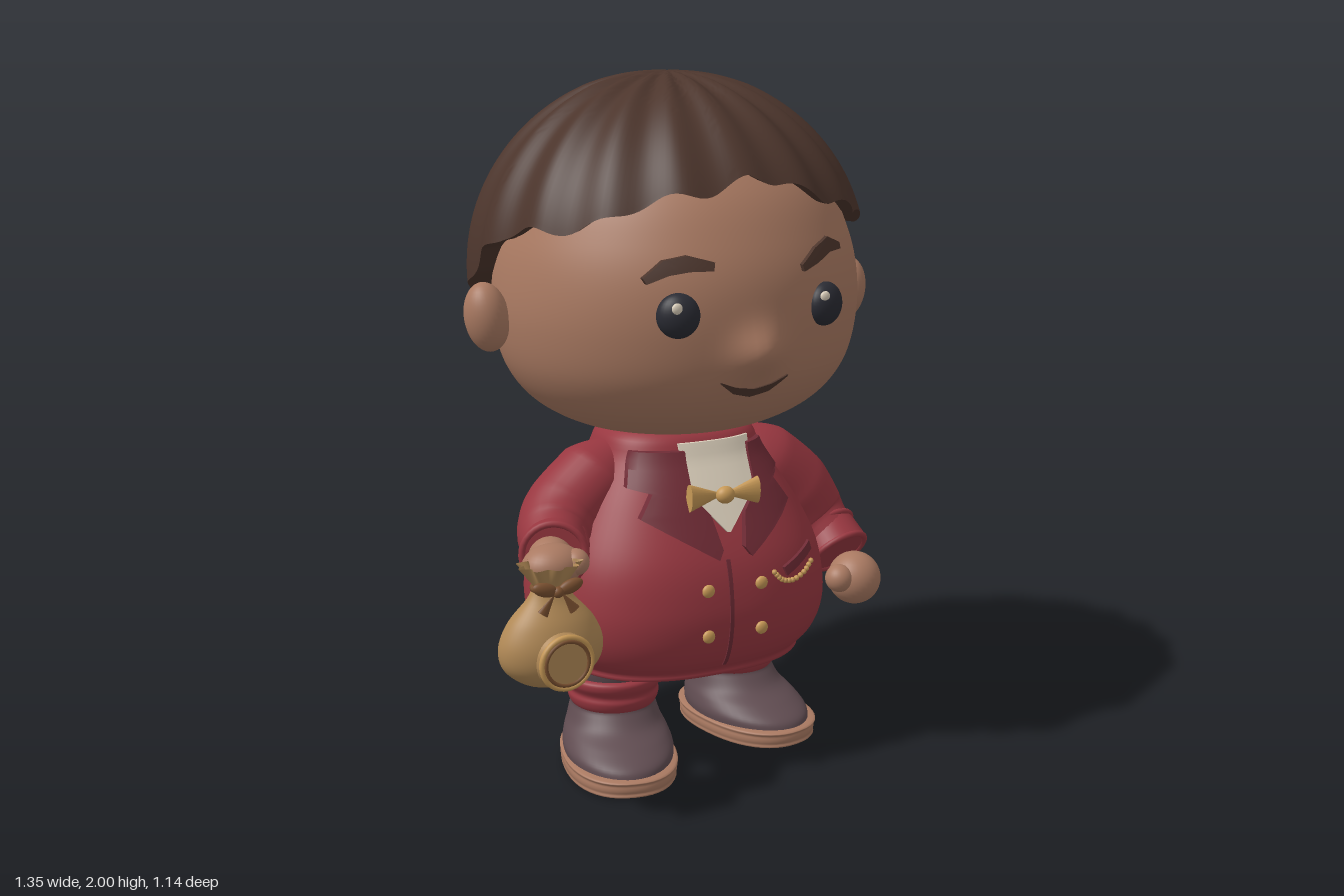
import * as THREE from 'three';
import { toCreasedNormals } from 'three/addons/utils/BufferGeometryUtils.js';

const mat = (name, color, side = THREE.FrontSide) => {
  const m = new THREE.MeshStandardMaterial({ color, side });
  m.name = name;
  return m;
};
const M = {
  skin: mat('skin', 0xaa7a62), hair: mat('darkBrown', 0x4c352c), red: mat('jacketRed', 0x983740),
  maroon: mat('maroon', 0x6f2b35), shoe: mat('plumGrey', 0x604c51), gold: mat('gold', 0xc69856),
  sack: mat('sackTan', 0xb18956, THREE.DoubleSide), cream: mat('cream', 0xdcd0bc),
  eye: mat('eyeBlack', 0x2a2b33), ribbon: mat('ribbonBrown', 0x7a5030),
};

// Quad grid from a rule; columns wrap for closed sections
function grid(rows, cols, wrap, fn) {
  const pos = [], idx = [], n = wrap ? cols : cols + 1;
  for (let i = 0; i <= rows; i++) for (let j = 0; j < n; j++) pos.push(...fn(i, j));
  for (let i = 0; i < rows; i++) for (let j = 0; j < cols; j++) {
    const k = (j + 1) % n, a = i * n + j, b = i * n + k, c = b + n, d = a + n;
    idx.push(a, b, c, a, c, d);
  }
  const g = new THREE.BufferGeometry();
  g.setAttribute('position', new THREE.Float32BufferAttribute(pos, 3));
  g.setIndex(idx);
  g.computeVertexNormals();
  return g;
}

// Smooth stack of ellipses, each ring [y, centreX, centreZ, radiusX, radiusZ]
function stack(rings) {
  const c = new THREE.CatmullRomCurve3(rings.map(r => new THREE.Vector3(r[1], r[0], r[2])), false, 'catmullrom');
  const s = new THREE.CatmullRomCurve3(rings.map(r => new THREE.Vector3(r[3], 0, r[4])), false, 'catmullrom');
  return t => {
    const p = c.getPoint(t), q = s.getPoint(t);
    return [p.y, p.x, p.z, Math.max(q.x, 0.0005), Math.max(q.z, 0.0005)];
  };
}
// power 2 gives ellipses, higher values squarer sections
function loft(rings, { seg = 48, per = 6, power = 2, bump = () => 0 } = {}) {
  const at = stack(rings), rows = (rings.length - 1) * per;
  const soft = v => Math.sign(v) * Math.abs(v) ** (2 / power);
  return grid(rows, seg, true, (i, j) => {
    const [y, cx, cz, rx, rz] = at(i / rows), a = j / seg * Math.PI * 2;
    const x = cx + rx * soft(Math.sin(a)), z = cz + rz * soft(Math.cos(a));
    return [x, y, z + (z > 0.1 ? bump(x, y) : 0)];
  });
}
// Front surface depth of a loft at (x, y)
function frontOf(rings, { power = 2, bump = () => 0 }) {
  const at = stack(rings);
  return (x, y) => {
    let lo = 0, hi = 1;
    for (let k = 0; k < 24; k++) { const m = (lo + hi) / 2; if (at(m)[0] < y) lo = m; else hi = m; }
    const [, cx, cz, rx, rz] = at(lo);
    return cz + rz * Math.max(0.05, 1 - Math.abs((x - cx) / rx) ** power) ** (1 / power) + bump(x, y);
  };
}
// Thin plate between two polylines, laid on a front surface
function plate(a, b, zf, h = 0.009, rows = 16, cols = 8) {
  const pick = (p, t) => {
    const f = t * (p.length - 1), i = Math.min(Math.floor(f), p.length - 2), k = f - i;
    return [0, 1].map(q => p[i][q] * (1 - k) + p[i + 1][q] * k);
  };
  const clamp = (i, n) => Math.min(Math.max(i - 1, 0), n);
  return toCreasedNormals(grid(rows + 2, cols + 2, false, (i, j) => {
    const t = clamp(i, rows) / rows, v = clamp(j, cols) / cols, p = pick(a, t), q = pick(b, t);
    const x = p[0] + (q[0] - p[0]) * v, y = p[1] + (q[1] - p[1]) * v;
    const rim = i === 0 || j === 0 || i === rows + 2 || j === cols + 2;
    return [x, y, zf(x, y) + (rim ? -0.005 : h)];
  }), 0.7);
}
// Tapered tube through [x, y, z, radius]
function limb(pts, seg = 28, rows = 30) {
  const c = new THREE.CatmullRomCurve3(pts.map(p => new THREE.Vector3(p[0], p[1], p[2])), false, 'catmullrom');
  const f = c.computeFrenetFrames(rows);
  return grid(rows, seg, true, (i, j) => {
    const u = i / rows, t = c.getUtoTmapping(u) * (pts.length - 1), k = Math.min(Math.floor(t), pts.length - 2);
    const r = pts[k][3] + (pts[k + 1][3] - pts[k][3]) * (t - k), a = j / seg * Math.PI * 2;
    return c.getPointAt(u).addScaledVector(f.normals[i], r * Math.cos(a))
      .addScaledVector(f.binormals[i], r * Math.sin(a)).toArray();
  });
}

export function createModel() {
  const root = new THREE.Group();
  const add = (name, geo, m, p = [0, 0, 0], parent = root) => {
    const o = new THREE.Mesh(geo, m);
    o.name = name;
    o.position.set(...p);
    parent.add(o);
    return o;
  };
  const ball = (name, m, p, s, parent) => {
    const o = add(name, new THREE.SphereGeometry(1, 32, 20), m, p, parent);
    o.scale.set(...s);
    return o;
  };

  // Head with the nose swelling out of the face
  const bump = (x, y) => 0.05 * Math.exp(-((x - 0.035) ** 2) / 0.005 - ((y - 1.28) ** 2) / 0.0045);
  const headRings = [[0.985, 0, 0], [0.99, 0.15, 0.14], [1.02, 0.3, 0.265], [1.09, 0.425, 0.385], [1.19, 0.5, 0.465],
    [1.32, 0.53, 0.5], [1.45, 0.525, 0.505], [1.57, 0.495, 0.475], [1.7, 0.43, 0.41], [1.82, 0.3, 0.29],
    [1.9, 0.15, 0.15], [1.92, 0, 0]].map(([y, rx, rz]) => [y, 0.033, 0.03, rx, rz]);
  const faceZ = frontOf(headRings, { bump });
  add('head', loft(headRings, { seg: 128, per: 8, bump }), M.skin);
  for (const [x, s] of [[-0.545, -1], [0.61, 1]]) {
    const ear = ball(s > 0 ? 'leftEar' : 'rightEar', M.skin, [x, 1.345, 0.03], [0.062, 0.098, 0.066]);
    ear.rotation.z = -0.15 * s;
  }

  // Eyes, brows and mouth
  for (const x of [-0.188, 0.256]) {
    const z = faceZ(x, 1.393);
    ball('eye', M.eye, [x, 1.393, z], [0.058, 0.06, 0.04]).rotation.y = (x - 0.033) * 1.6;
    ball('eyeGlint', M.cream, [x - 0.02, 1.418, z + 0.034], [0.015, 0.015, 0.008]);
  }
  add('rightBrow', plate([[-0.27, 1.49], [-0.22, 1.535], [-0.16, 1.548], [-0.095, 1.53]],
    [[-0.262, 1.475], [-0.21, 1.498], [-0.16, 1.507], [-0.1, 1.508]], faceZ, 0.015, 18, 4), M.hair);
  add('leftBrow', plate([[0.165, 1.508], [0.22, 1.547], [0.28, 1.57], [0.335, 1.548]],
    [[0.17, 1.49], [0.22, 1.506], [0.28, 1.53], [0.335, 1.532]], faceZ, 0.015, 18, 4), M.hair);
  add('mouth', plate([[-0.065, 1.205], [-0.02, 1.188], [0.035, 1.18], [0.085, 1.19], [0.138, 1.211]],
    [[-0.063, 1.2], [-0.02, 1.168], [0.03, 1.155], [0.085, 1.167], [0.136, 1.205]], faceZ, 0.008, 20, 4), M.hair);

  // Hair: ridged dome ending at a wavy hairline that drops behind the ears
  const line = [[0, 1.735], [0.5, 1.675], [0.9, 1.61], [1.35, 1.57], [1.57, 1.52], [1.8, 1.42], [2.1, 1.29], [2.35, 1.24], [2.7, 1.235], [3.15, 1.215]];
  const hairline = a => {
    const k = Math.max(1, line.findIndex(p => p[0] >= a)), [p, q] = [line[k - 1], line[k]];
    return p[1] + (q[1] - p[1]) * (a - p[0]) / (q[0] - p[0]);
  };
  const HR = 48;
  add('hair', toCreasedNormals(grid(HR, 204, true, (i, j) => {
    const a = j / 204 * Math.PI * 2, fold = Math.min(a, Math.PI * 2 - a);
    const bottom = hairline(fold) + 0.01 * Math.cos(17 * a + 1) + 0.008 * Math.sin(9 * a);
    const end = Math.acos((bottom - 1.45) / 0.55), t = i === 0 ? 1 : 1 - (i - 1) / (HR - 1);
    const phi = Math.max(end * t, 0.001);
    const ridge = 1 + Math.cos(17 * a + 1.6 * (1 - t)) * (0.012 + 0.01 * fold / Math.PI) * Math.min(1, phi * 2.5);
    const r = Math.sin(phi) * ridge * (i === 0 ? 0.84 : 1), front = Math.cos(a) > 0 ? 0.565 : 0.525;
    return [0.04 + 0.575 * r * Math.sin(a), 1.45 + 0.55 * Math.cos(phi) * ridge + (i === 0 ? 0.012 : 0), -0.04 + front * r * Math.cos(a)];
  }), 0.9), M.hair);

  // Jacket body with squarish sections
  const bodyRings = [[0.303, 0, 0], [0.306, 0.33, 0.28], [0.335, 0.368, 0.315], [0.38, 0.412, 0.348], [0.45, 0.438, 0.37],
    [0.54, 0.437, 0.374], [0.66, 0.408, 0.35], [0.8, 0.335, 0.28], [0.92, 0.255, 0.21], [1, 0.2, 0.16], [1.02, 0, 0]]
    .map(([y, rx, rz]) => [y, 0.025, 0.04, rx, rz]);
  const bodyZ = frontOf(bodyRings, { power: 2.5 });
  add('jacket', loft(bodyRings, { seg: 80, power: 2.5 }), M.red);
  add('jacketSeam', plate([[0.016, 0.35], [0.016, 0.67]], [[0.028, 0.35], [0.028, 0.67]], bodyZ, 0.004, 20, 2), M.maroon);
  add('shirt', plate([[0.035, 0.74], [-0.05, 0.84], [-0.055, 0.975]], [[0.045, 0.74], [0.15, 0.84], [0.18, 0.975]], bodyZ, 0.009), M.cream);
  add('rightLapel', plate([[-0.012, 0.675], [-0.205, 0.79], [-0.16, 0.853], [-0.215, 0.865], [-0.18, 0.957]],
    [[0.005, 0.7], [-0.01, 0.79], [-0.035, 0.82], [-0.05, 0.86], [-0.045, 0.957]], bodyZ, 0.022), M.maroon);
  add('leftLapel', plate([[0.075, 0.7], [0.1, 0.79], [0.13, 0.82], [0.155, 0.86], [0.165, 0.957]],
    [[0.092, 0.675], [0.275, 0.79], [0.235, 0.853], [0.28, 0.875], [0.235, 0.957]], bodyZ, 0.022), M.maroon);

  // Bow tie, buttons, pocket and watch chain
  for (const s of [-1, 1]) {
    const wing = add('bowTieWing', new THREE.ConeGeometry(0.04, 0.11, 20), M.gold, [0.035 + s * 0.053, 0.845, 0.335]);
    wing.rotation.z = s * Math.PI / 2;
    wing.scale.z = 0.5;
  }
  ball('bowTieKnot', M.gold, [0.035, 0.845, 0.345], [0.028, 0.025, 0.022]);
  for (const x of [-0.05, 0.12]) for (const y of [0.46, 0.593])
    ball('button', M.gold, [x, y, bodyZ(x, y) + 0.004], [0.019, 0.019, 0.011]);
  add('pocket', plate([[0.2, 0.622], [0.325, 0.665]], [[0.21, 0.597], [0.33, 0.642]], bodyZ, 0.012, 8, 3), M.maroon);
  const chain = new THREE.CatmullRomCurve3([[0.165, 0.615], [0.19, 0.59], [0.23, 0.58], [0.28, 0.59], [0.32, 0.61]]
    .map(([x, y]) => new THREE.Vector3(x, y, bodyZ(x, y) + 0.008)));
  for (let k = 0; k <= 12; k++)
    add('chainLink', new THREE.SphereGeometry(0.008, 8, 6), M.gold, chain.getPoint(k / 12).toArray());

  // Sleeves and turned cuffs
  const arm = (side, pts, cuffR, dir) => {
    add(side + 'Sleeve', limb(pts), M.red);
    const d = new THREE.Vector3(...dir).normalize(), end = pts[pts.length - 1];
    const g = new THREE.Group();
    g.name = side + 'Cuff';
    g.position.set(end[0], end[1], end[2]);
    g.quaternion.setFromUnitVectors(new THREE.Vector3(0, 1, 0), d);
    root.add(g);
    add('cuffBand', toCreasedNormals(new THREE.CylinderGeometry(cuffR, cuffR * 0.94, 0.09, 32), 0.7), M.red, [0, 0, 0], g);
    for (const y of [-0.042, 0.042])
      add('cuffEdge', new THREE.TorusGeometry(cuffR - 0.008, 0.01, 10, 32).rotateX(Math.PI / 2), M.red, [0, y, 0], g);
  };
  arm('left', [[0.22, 0.91, 0.05, 0.07], [0.3, 0.85, 0.06, 0.12], [0.405, 0.75, 0.06, 0.13], [0.475, 0.645, 0.075, 0.12], [0.515, 0.585, 0.14, 0.09]], 0.1, [0.12, -0.6, 0.7]);
  arm('right', [[-0.16, 0.91, 0.05, 0.07], [-0.24, 0.86, 0.06, 0.115], [-0.35, 0.78, 0.09, 0.115], [-0.405, 0.735, 0.15, 0.105], [-0.435, 0.715, 0.225, 0.085]], 0.096, [-0.4, 0.0, 0.9]);

  // Hands
  ball('leftHand', M.skin, [0.545, 0.49, 0.23], [0.08, 0.08, 0.08]);
  ball('leftThumb', M.skin, [0.475, 0.505, 0.255], [0.042, 0.042, 0.042]);
  ball('rightWrist', M.skin, [-0.48, 0.72, 0.31], [0.062, 0.062, 0.07]);
  ball('rightHand', M.skin, [-0.5, 0.725, 0.37], [0.085, 0.058, 0.07]);
  ball('rightThumb', M.skin, [-0.445, 0.735, 0.4], [0.036, 0.036, 0.04]);

  // Sack with ruffled mouth, ribbon and a round medallion
  const sack = new THREE.Group();
  sack.name = 'sack';
  sack.position.set(-0.535, 0, 0.435);
  root.add(sack);
  add('sackBody', loft([[0.42, 0], [0.428, 0.07], [0.475, 0.132], [0.535, 0.145], [0.6, 0.118], [0.66, 0.066], [0.7, 0.045], [0.72, 0.04], [0.722, 0]]
    .map(([y, r]) => [y, 0, 0, r, r * 0.65])), M.sack, [0, 0, 0], sack);
  add('sackRuffle', grid(8, 90, true, (i, j) => {
    const t = i / 8, a = j / 90 * Math.PI * 2, r = (0.042 + 0.04 * t) * (1 + 0.14 * t * Math.cos(9 * a));
    return [r * Math.sin(a), 0.69 + 0.065 * t, r * 0.75 * Math.cos(a)];
  }), M.sack, [0, 0, 0], sack);
  const tie = add('sackTie', new THREE.TorusGeometry(0.045, 0.011, 10, 28).rotateX(Math.PI / 2), M.ribbon, [0, 0.692, 0], sack);
  tie.scale.z = 0.75;
  for (const s of [-1, 1]) {
    const loop = ball('ribbonLoop', M.ribbon, [s * 0.036, 0.703, 0.054], [0.036, 0.019, 0.014], sack);
    loop.rotation.z = s * 0.3;
    const tail = add('ribbonTail', new THREE.ConeGeometry(0.016, 0.065, 10), M.ribbon, [s * 0.027, 0.665, 0.058], sack);
    tail.rotation.z = s * 0.6;
    tail.scale.z = 0.5;
  }
  ball('ribbonKnot', M.ribbon, [0, 0.692, 0.056], [0.016, 0.015, 0.014], sack);
  add('medallion', toCreasedNormals(new THREE.CylinderGeometry(0.062, 0.08, 0.05, 40).rotateX(Math.PI / 2), 0.5), M.sack, [0, 0.515, 0.09], sack);
  add('medallionGroove', new THREE.TorusGeometry(0.06, 0.006, 8, 40), M.ribbon, [0, 0.515, 0.113], sack);
  add('medallionRim', new THREE.TorusGeometry(0.07, 0.008, 10, 40), M.gold, [0, 0.515, 0.109], sack);

  // Legs, stockings and shoes
  for (const [side, x, z, s] of [['right', -0.205, 0.11, -1], ['left', 0.26, 0, 1]]) {
    const leg = new THREE.Group();
    leg.name = side + 'Leg';
    leg.position.set(x, 0, z);
    leg.rotation.y = s * 0.22;
    root.add(leg);
    const tower = rows => rows.map(([y, r]) => [y, 0, -0.015, r, r]);
    add('trouser', loft(tower([[0.24, 0.11], [0.28, 0.132], [0.34, 0.142], [0.4, 0.13]])), M.shoe, [0, 0, 0], leg);
    add('stocking', loft(tower([[0.17, 0.1], [0.19, 0.125], [0.215, 0.135], [0.235, 0.132], [0.262, 0.147], [0.283, 0.143], [0.292, 0.1]])), M.red, [0, 0, 0], leg);
    add('shoe', loft([[0.05, 0.156, -0.175, 0.285], [0.08, 0.16, -0.175, 0.27], [0.11, 0.152, -0.17, 0.215], [0.14, 0.138, -0.165, 0.15],
      [0.18, 0.126, -0.155, 0.112], [0.203, 0.115, -0.14, 0.095], [0.205, 0.002, -0.01, 0.01]]
      .map(([y, r, b, f]) => [y, 0, (b + f) / 2, r, (f - b) / 2])), M.shoe, [0, 0, 0], leg);
    add('sole', loft([[0.004, 0, 0], [0.006, 0.145, 0.215], [0.022, 0.162, 0.236], [0.044, 0.163, 0.237], [0.06, 0.15, 0.225], [0.062, 0, 0]]
      .map(([y, rx, rz]) => [y, 0, 0.055, rx, rz]), { power: 2.3 }), M.skin, [0, 0, 0], leg);
  }
  return root;
}
